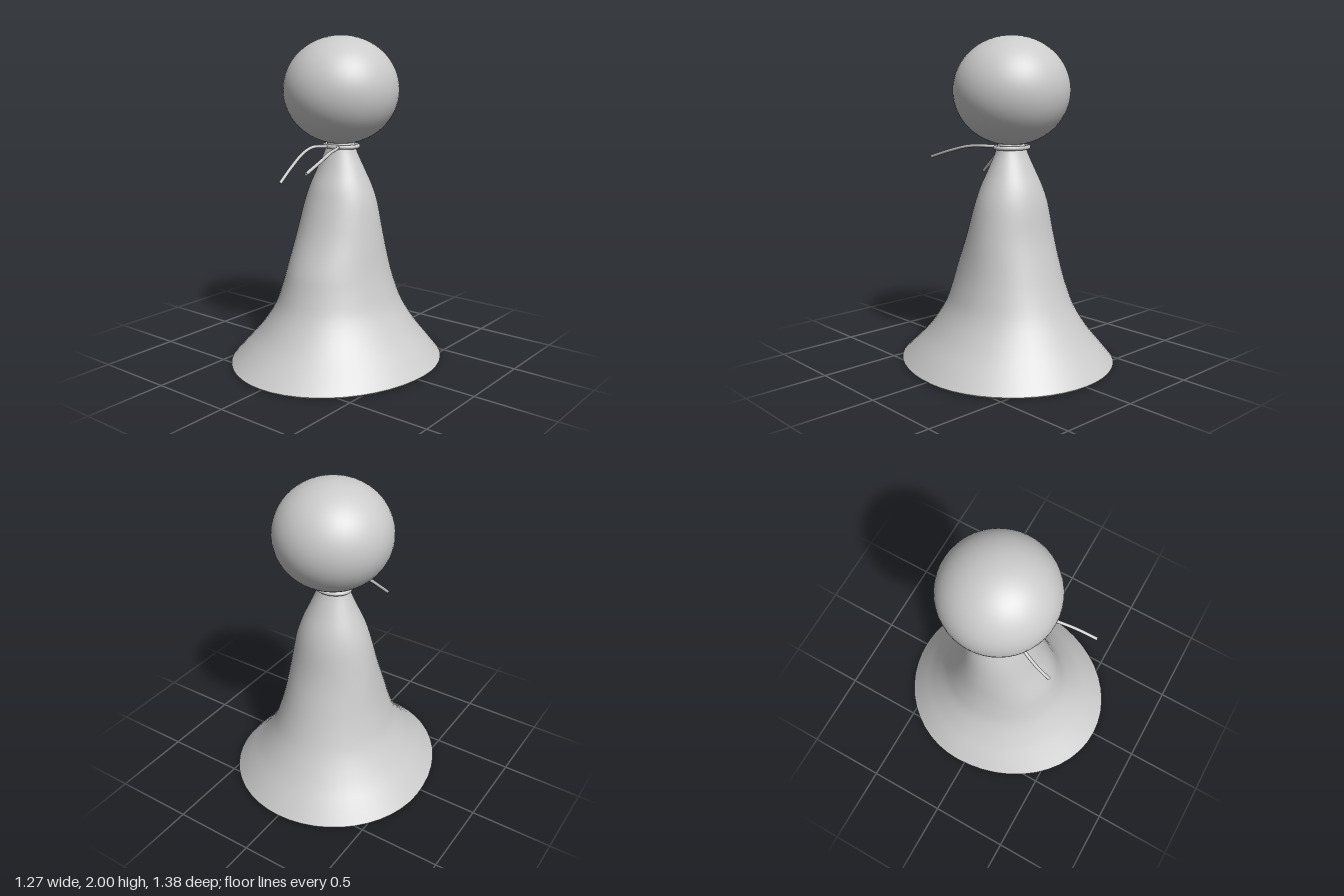
import * as THREE from 'three';

const SIDES = 48, ROWS = 40, MID_Z = -0.06;

// Gown sections: height, half width, front z, back z
const SECTIONS = [
  [0.01, 0.635, 0.695, -0.69],
  [0.1, 0.56, 0.595, -0.62],
  [0.2, 0.475, 0.5, -0.545],
  [0.35, 0.38, 0.4, -0.455],
  [0.48, 0.335, 0.35, -0.4],
  [0.6, 0.305, 0.312, -0.36],
  [0.8, 0.27, 0.225, -0.302],
  [1.0, 0.23, 0.158, -0.265],
  [1.1, 0.195, 0.125, -0.235],
  [1.2, 0.15, 0.08, -0.19],
  [1.3, 0.105, 0.042, -0.145],
  [1.36, 0.085, 0.025, -0.125],
];

// One ring of the gown: the front and back halves have different depths
function ring([y, halfWidth, front, back], inset = 0) {
  return Array.from({ length: SIDES }, (_, i) => {
    const a = (i / SIDES) * Math.PI * 2;
    const c = Math.cos(a);
    const depth = (c > 0 ? front - MID_Z : MID_Z - back) - inset;
    return [Math.sin(a) * (halfWidth - inset), y, MID_Z + c * depth];
  });
}

// Skins a list of closed rings, facing outward when they run upward
function loft(rings) {
  const index = [];
  for (let r = 0; r < rings.length - 1; r++) {
    for (let i = 0; i < SIDES; i++) {
      const j = (i + 1) % SIDES;
      const a = r * SIDES + i, b = r * SIDES + j;
      index.push(a, b, b + SIDES, a, b + SIDES, a + SIDES);
    }
  }
  const geometry = new THREE.BufferGeometry();
  geometry.setAttribute('position', new THREE.Float32BufferAttribute(rings.flat(2), 3));
  geometry.setIndex(index);
  geometry.computeVertexNormals();
  return geometry;
}

export function createModel() {
  const model = new THREE.Group();
  const material = new THREE.MeshStandardMaterial({ color: 0xcccccc });
  const add = (name, geometry, parent = model) => {
    const mesh = new THREE.Mesh(geometry, material);
    mesh.name = name;
    parent.add(mesh);
    return mesh;
  };

  // Round head, slightly flattened
  const head = add('head', new THREE.SphereGeometry(0.352, 48, 32));
  head.scale.y = 0.325 / 0.352;
  head.position.set(0, 1.675, -0.057);

  // Flared hollow gown: cloth outside, lining inside, hem between
  const half = new THREE.CatmullRomCurve3(SECTIONS.map(([y, w]) => new THREE.Vector3(w, y, 0)));
  const depths = new THREE.CatmullRomCurve3(SECTIONS.map(([y, , f, b]) => new THREE.Vector3(f, y, b)));
  const sections = Array.from({ length: ROWS + 1 }, (_, i) => {
    const p = half.getPoint(i / ROWS), q = depths.getPoint(i / ROWS);
    return [p.y, p.x, q.x, q.z];
  });
  const gown = new THREE.Group();
  gown.name = 'gown';
  model.add(gown);
  const outer = sections.map((s) => ring(s));
  const inner = sections.map((s) => ring(s, 0.012));
  add('gownCloth', loft(outer), gown);
  add('gownLining', loft([...inner].reverse()), gown);
  add('gownHem', loft([inner[0], ring([0, 0.629, 0.689, -0.684]), outer[0]]), gown);

  // Cord around the neck
  const cord = add('neckCord', new THREE.TorusGeometry(0.1, 0.013, 10, 40));
  cord.rotation.x = Math.PI / 2;
  cord.scale.set(1.08, 0.9, 1);
  cord.position.set(0, 1.337, -0.06);

  // Two loose cord ends hanging forward
  const ties = {
    leftCordEnd: [[0.04, 1.337, 0.025], [0.09, 1.34, 0.1], [0.125, 1.333, 0.2], [0.16, 1.297, 0.34], [0.183, 1.25, 0.49]],
    rightCordEnd: [[-0.04, 1.337, 0.025], [-0.085, 1.337, 0.11], [-0.11, 1.305, 0.17], [-0.13, 1.225, 0.26], [-0.136, 1.145, 0.35]],
  };
  for (const [name, points] of Object.entries(ties)) {
    const path = new THREE.CatmullRomCurve3(points.map((p) => new THREE.Vector3(...p)));
    const end = new THREE.Group();
    end.name = name;
    model.add(end);
    add(name + 'Strand', new THREE.TubeGeometry(path, 28, 0.01, 10), end);
    // Flat cap closing the tip
    const cap = add(name + 'Tip', new THREE.CircleGeometry(0.01, 10), end);
    cap.position.copy(path.getPoint(1));
    cap.quaternion.setFromUnitVectors(new THREE.Vector3(0, 0, 1), path.getTangent(1));
  }

  return model;
}
